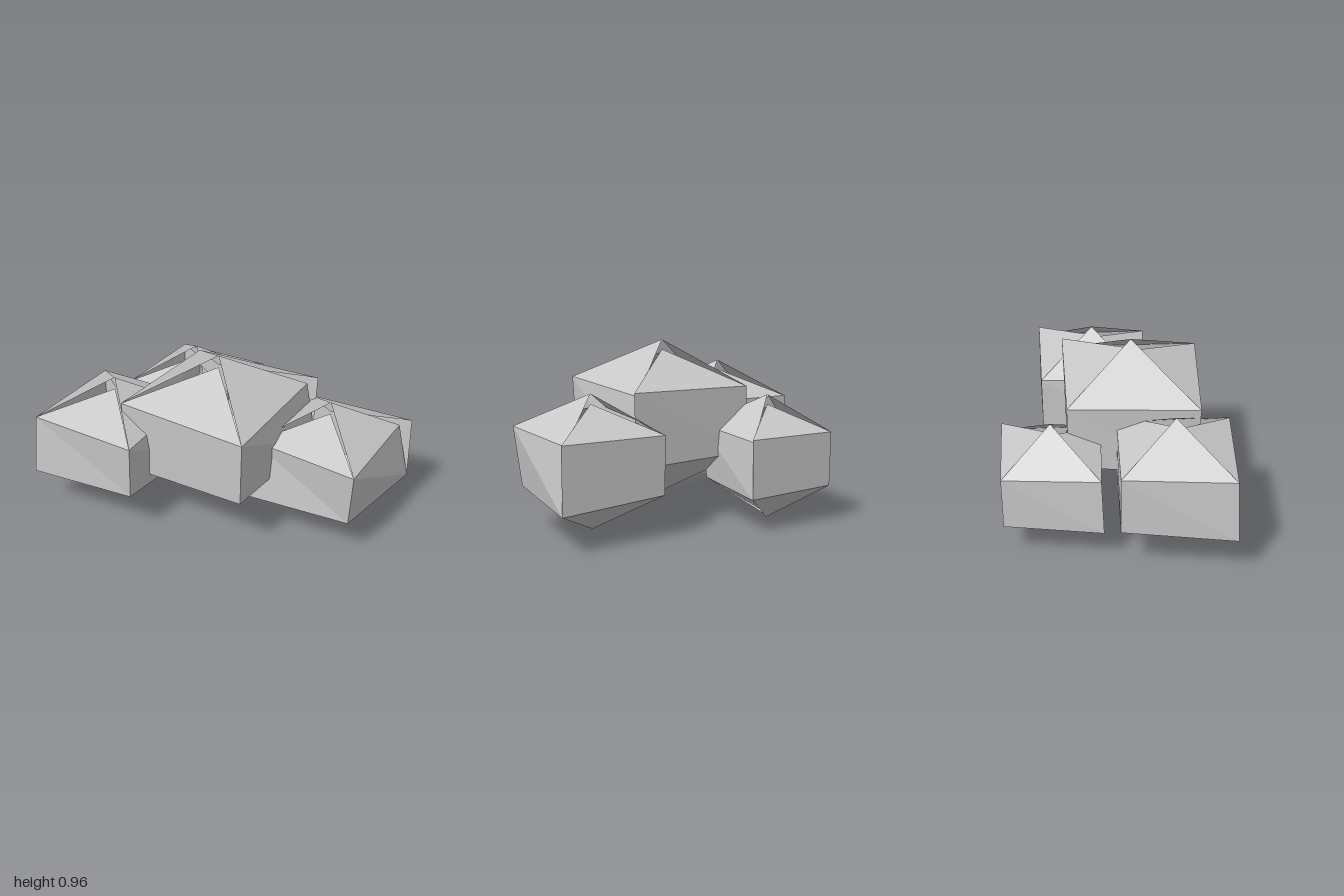
import * as THREE from 'three';

// Compass columns of a boulder: the last one closes the seam on the +x side
const DIRS = [[1, 0], [0, -1], [-1, 0], [0, 1], [1, 0]];
// The four cap facets do not quite meet: drop of the top tip, lift of the bottom tip
const TOP_DROP = [0.055, 0, 0.07, 0];
const TIP_LIFT = [0, 0, 0.01, 0.025];

// Each boulder: centre, tip heights, and radius / height of its two uneven rings
const BOULDERS = [
  { name: 'mainBoulder', x: -0.015, z: 0.135, top: 0.965, bottom: 0.115,
    upR: [0.55, 0.475, 0.525, 0.52, 0.49], upY: [0.755, 0.725, 0.745, 0.74, 0.728],
    lowR: [0.53, 0.47, 0.49, 0.5, 0.55], lowY: [0.35, 0.36, 0.325, 0.365, 0.35] },
  { name: 'rightBoulder', x: -0.54, z: -0.06, top: 0.785, bottom: 0.07,
    upR: [0.44, 0.4, 0.435, 0.425, 0.38], upY: [0.605, 0.59, 0.595, 0.6, 0.585],
    lowR: [0.43, 0.4, 0.46, 0.39, 0.44], lowY: [0.245, 0.265, 0.245, 0.275, 0.245] },
  { name: 'backBoulder', x: -0.01, z: -0.455, top: 0.685, bottom: 0,
    upR: [0.4, 0.35, 0.385, 0.37, 0.36], upY: [0.51, 0.495, 0.505, 0.505, 0.49],
    lowR: [0.385, 0.345, 0.405, 0.335, 0.39], lowY: [0.19, 0.2, 0.19, 0.205, 0.19] },
  { name: 'leftBoulder', x: 0.535, z: 0.37, top: 0.745, bottom: 0.025,
    upR: [0.465, 0.4, 0.41, 0.43, 0.395], upY: [0.565, 0.545, 0.56, 0.555, 0.545],
    lowR: [0.465, 0.395, 0.45, 0.385, 0.465], lowY: [0.205, 0.23, 0.21, 0.235, 0.205] },
];

// Faceted boulder: four-sided cap, belt and underside
function boulderGeometry(b) {
  const ring = (r, y) => DIRS.map(([dx, dz], i) => [dx * r[i], y[i], dz * r[i]]);
  const up = ring(b.upR, b.upY);
  const low = ring(b.lowR, b.lowY);
  const points = [];
  for (let i = 0; i < 4; i++) {
    const j = i + 1;
    points.push([0, b.top - TOP_DROP[i], 0], up[i], up[j]); // cap
    points.push(up[j], up[i], low[j], up[i], low[i], low[j]); // belt
    points.push(low[j], low[i], [0, b.bottom + TIP_LIFT[i], 0]); // underside
  }
  const geometry = new THREE.BufferGeometry();
  geometry.setAttribute('position', new THREE.Float32BufferAttribute(points.flat(), 3));
  geometry.computeVertexNormals();
  return geometry;
}

export function createModel() {
  const group = new THREE.Group();
  group.name = 'rockCluster';
  const stone = new THREE.MeshStandardMaterial({
    color: 0xc8c8c8, flatShading: true, side: THREE.DoubleSide });
  stone.name = 'stoneGrey';
  for (const b of BOULDERS) {
    const mesh = new THREE.Mesh(boulderGeometry(b), stone);
    mesh.name = b.name;
    mesh.position.set(b.x, 0, b.z);
    group.add(mesh);
  }
  return group;
}
